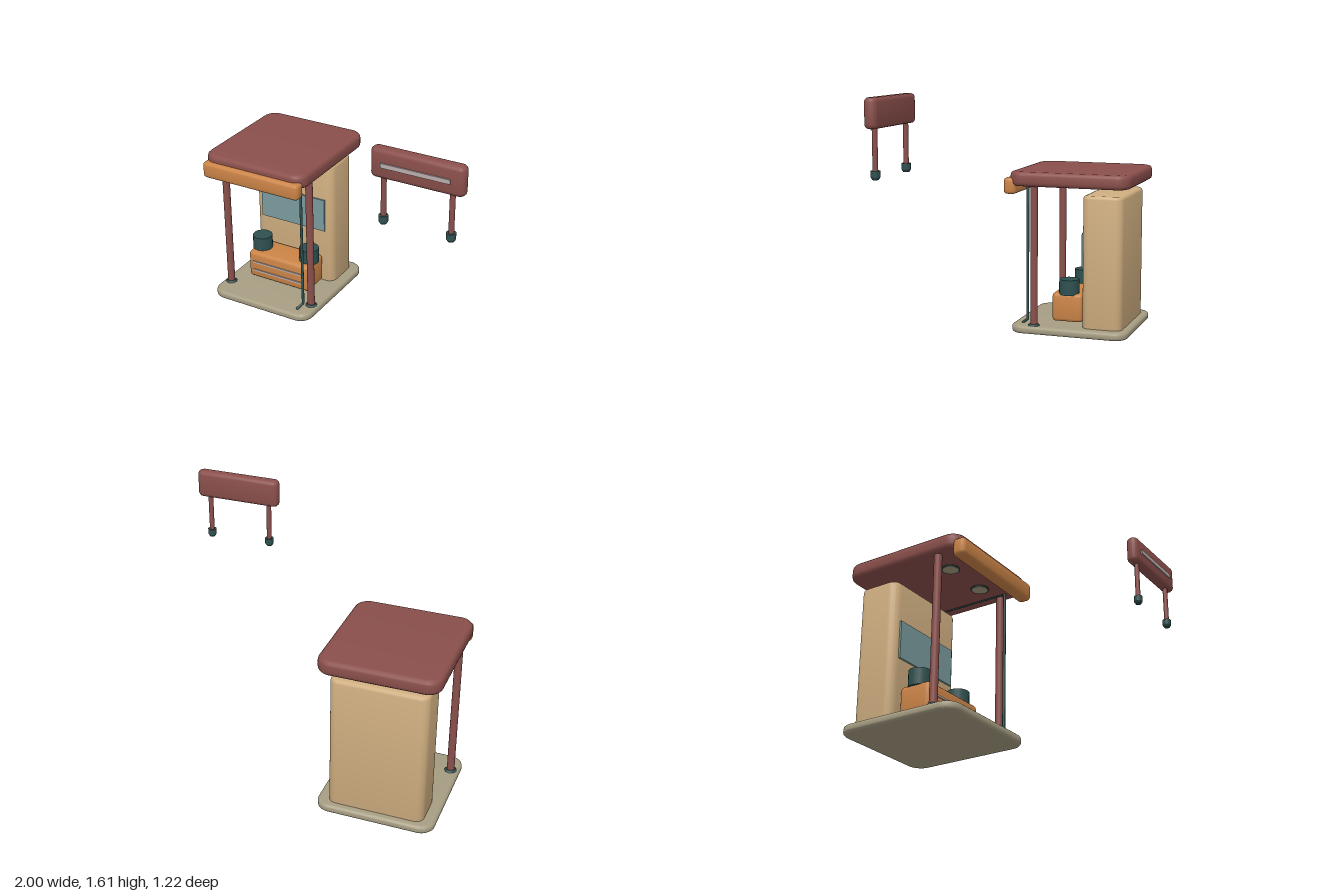
import * as THREE from 'three';
import { toCreasedNormals } from 'three/addons/utils/BufferGeometryUtils.js';

const mat = (name, color) => new THREE.MeshStandardMaterial({ name, color });

// Slab with rounded plan corners (radius r) and bevelled top and bottom edges (b)
function slabGeometry([x0, x1], [y0, y1], [z0, z1], r, b) {
  const w = (x1 - x0) / 2 - b, d = (z1 - z0) / 2 - b, c = Math.max(r - b, 0.004);
  const s = new THREE.Shape();
  s.moveTo(w, -d + c);
  s.absarc(w - c, d - c, c, 0, Math.PI / 2);
  s.absarc(-w + c, d - c, c, Math.PI / 2, Math.PI);
  s.absarc(-w + c, -d + c, c, Math.PI, Math.PI * 1.5);
  s.absarc(w - c, -d + c, c, Math.PI * 1.5, Math.PI * 2);
  const g = new THREE.ExtrudeGeometry(s, {
    depth: y1 - y0 - 2 * b, bevelThickness: b, bevelSize: b, bevelSegments: 3, curveSegments: 6,
  });
  g.rotateX(-Math.PI / 2);
  g.translate((x0 + x1) / 2, y0 + b, (z0 + z1) / 2);
  return toCreasedNormals(g, 0.65);
}

export function createModel() {
  const model = new THREE.Group();
  const red = mat('maroon paint', 0x8a4f4b);
  const orange = mat('orange paint', 0xcb8447);
  const tan = mat('tan wall', 0xcfae80);
  const teal = mat('dark teal metal', 0x2f5050);
  const stone = mat('stone base', 0xa69d82);
  const glass = mat('blue grey glass', 0x7a9c9e);
  const silver = mat('pale trim', 0xbcaeae);

  const add = (name, geometry, material, parent = model) => {
    const m = new THREE.Mesh(geometry, material);
    m.name = name;
    parent.add(m);
    return m;
  };
  const slab = (name, material, x, y, z, r, b, parent) =>
    add(name, slabGeometry(x, y, z, r, b), material, parent);
  const box = (name, material, [x0, x1], [y0, y1], [z0, z1], parent) =>
    add(name, new THREE.BoxGeometry(x1 - x0, y1 - y0, z1 - z0), material, parent)
      .position.set((x0 + x1) / 2, (y0 + y1) / 2, (z0 + z1) / 2);
  const cyl = (name, material, x, z, y0, y1, rTop, rBottom = rTop, parent = model, sides = 20) =>
    add(name, new THREE.CylinderGeometry(rTop, rBottom, y1 - y0, sides), material, parent)
      .position.set(x, (y0 + y1) / 2, z);

  // Shelter
  const shelter = new THREE.Group();
  shelter.name = 'shelter';
  model.add(shelter);
  slab('base', stone, [-1, -0.255], [0, 0.052], [-0.6, 0.19], 0.09, 0.018, shelter);
  slab('roof', red, [-1, -0.255], [0.98, 1.075], [-0.61, 0.2], 0.09, 0.027, shelter);
  slab('fascia', orange, [-0.985, -0.27], [0.925, 1.03], [0.15, 0.235], 0.03, 0.02, shelter);
  slab('backCabinet', tan, [-0.93, -0.325], [0.01, 0.927], [-0.555, -0.285], 0.055, 0.022, shelter);
  box('window', glass, [-0.875, -0.38], [0.442, 0.675], [-0.286, -0.273], shelter);

  // Front posts with feet, ceiling lamps
  for (const side of [-1, 1]) {
    const x = -0.6275 + side * 0.32;
    cyl('post', red, x, 0.03, 0.05, 0.99, 0.024, 0.024, shelter);
    cyl('postFoot', teal, x, 0.03, 0.05, 0.064, 0.03, 0.042, shelter, 8);
    const lampX = -0.6275 + side * 0.15;
    cyl('lampRim', teal, lampX, -0.005, 0.974, 0.985, 0.055, 0.055, shelter);
    cyl('lampLens', stone, lampX, -0.005, 0.972, 0.98, 0.047, 0.047, shelter);
  }

  // Drain pipe running up the front and along the ceiling
  const pipe = new THREE.CurvePath();
  const points = [[-0.36, 0.056, 0.122], [-0.338, 0.085, 0.083], [-0.338, 0.984, 0.083], [-0.338, 0.984, -0.54]]
    .map((p) => new THREE.Vector3(...p));
  for (let i = 0; i < 3; i++) {
    const line = new THREE.LineCurve3(points[i], points[i + 1]);
    add('pipe', new THREE.TubeGeometry(line, 1, 0.009, 10), teal, shelter);
    add('pipeJoint', new THREE.SphereGeometry(0.009, 10, 8), teal, shelter).position.copy(points[i]);
  }

  // Counter with trim strips and two drums
  const counter = new THREE.Group();
  counter.name = 'counter';
  shelter.add(counter);
  slab('counterBody', orange, [-0.865, -0.39], [0.07, 0.26], [-0.275, -0.065], 0.03, 0.022, counter);
  for (const y of [0.127, 0.19]) box('counterTrim', silver, [-0.825, -0.43], [y - 0.006, y + 0.006], [-0.067, -0.058], counter);
  for (const x of [-0.812, -0.442]) cyl('drum', teal, x, -0.172, 0.25, 0.353, 0.067, 0.067, counter);

  // Separate sign board on two legs
  const sign = new THREE.Group();
  sign.name = 'signBoard';
  model.add(sign);
  slab('board', red, [0.432, 1], [1.435, 1.612], [0.523, 0.603], 0.038, 0.025, sign);
  box('boardTrim', silver, [0.505, 0.922], [1.507, 1.534], [0.602, 0.611], sign);
  for (const x of [0.506, 0.922]) {
    cyl('signLeg', red, x, 0.565, 1.19, 1.45, 0.016, 0.016, sign);
    cyl('signFoot', teal, x, 0.565, 1.16, 1.197, 0.028, 0.028, sign);
    cyl('signFootTip', teal, x, 0.565, 1.144, 1.16, 0.028, 0.018, sign);
  }
  return model;
}
